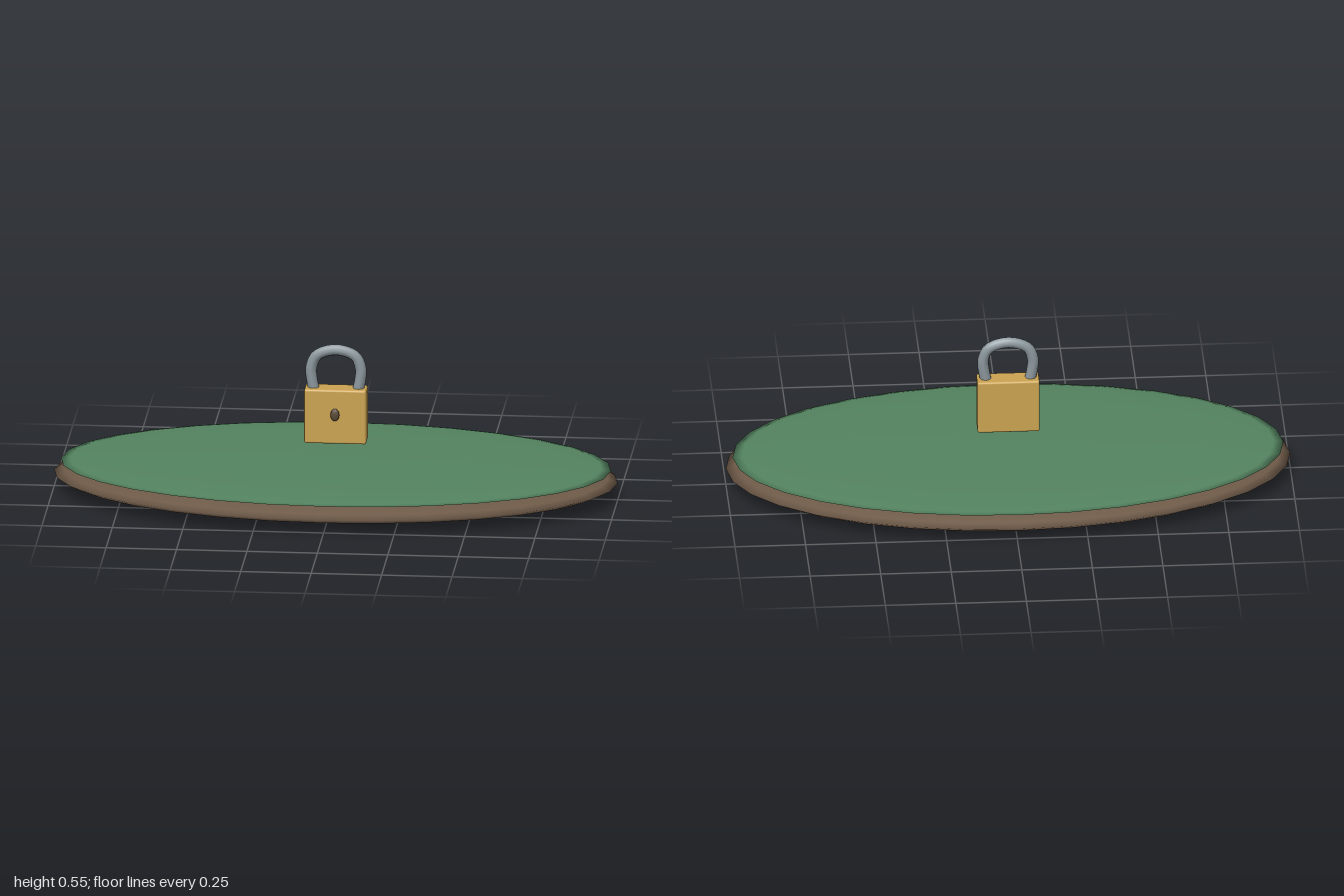
import * as THREE from 'three';
import { RoundedBoxGeometry } from 'three/addons/geometries/RoundedBoxGeometry.js';

function material(name, color) {
  const m = new THREE.MeshStandardMaterial({ color });
  m.name = name;
  return m;
}

export function createModel() {
  const group = new THREE.Group();
  group.name = 'padlockOverIsland';
  const earth = material('earth brown', 0x6e5a48);
  const grass = material('grass green', 0x548460);
  const brass = material('brass', 0xcca452);
  const steel = material('steel', 0x8c989e);
  const dark = material('keyhole brown', 0x5a4a36);

  const add = (name, geometry, mat, x = 0, y = 0, z = 0) => {
    const mesh = new THREE.Mesh(geometry, mat);
    mesh.name = name;
    mesh.position.set(x, y, z);
    group.add(mesh);
  };
  const ellipsoid = (rx, ry, rz, w, h) => new THREE.SphereGeometry(1, w, h).scale(rx, ry, rz);

  // Flattened island: earth below, thin grass cap on top
  add('earthBase', ellipsoid(1, 0.06, 0.546, 32, 12), earth, 0, 0.06);
  add('grassCap', ellipsoid(0.976, 0.018, 0.523, 32, 12), grass, 0, 0.104);

  // Floating padlock body
  add('lockBody', new RoundedBoxGeometry(0.22, 0.198, 0.08, 2, 0.007), brass, 0, 0.29);

  // Horseshoe shackle, its legs sunk into the body
  const half = [[0.076, 0.37], [0.086, 0.42], [0.088, 0.46], [0.068, 0.505]];
  const points = [
    ...half.map(([x, y]) => new THREE.Vector3(-x, y, 0)),
    new THREE.Vector3(0, 0.527, 0),
    ...half.slice().reverse().map(([x, y]) => new THREE.Vector3(x, y, 0)),
  ];
  add('shackle', new THREE.TubeGeometry(new THREE.CatmullRomCurve3(points), 32, 0.02, 8), steel);

  // Domed keyhole on the front face
  add('keyhole', ellipsoid(0.016, 0.023, 0.007, 12, 8), dark, 0, 0.3, 0.046);

  return group;
}
